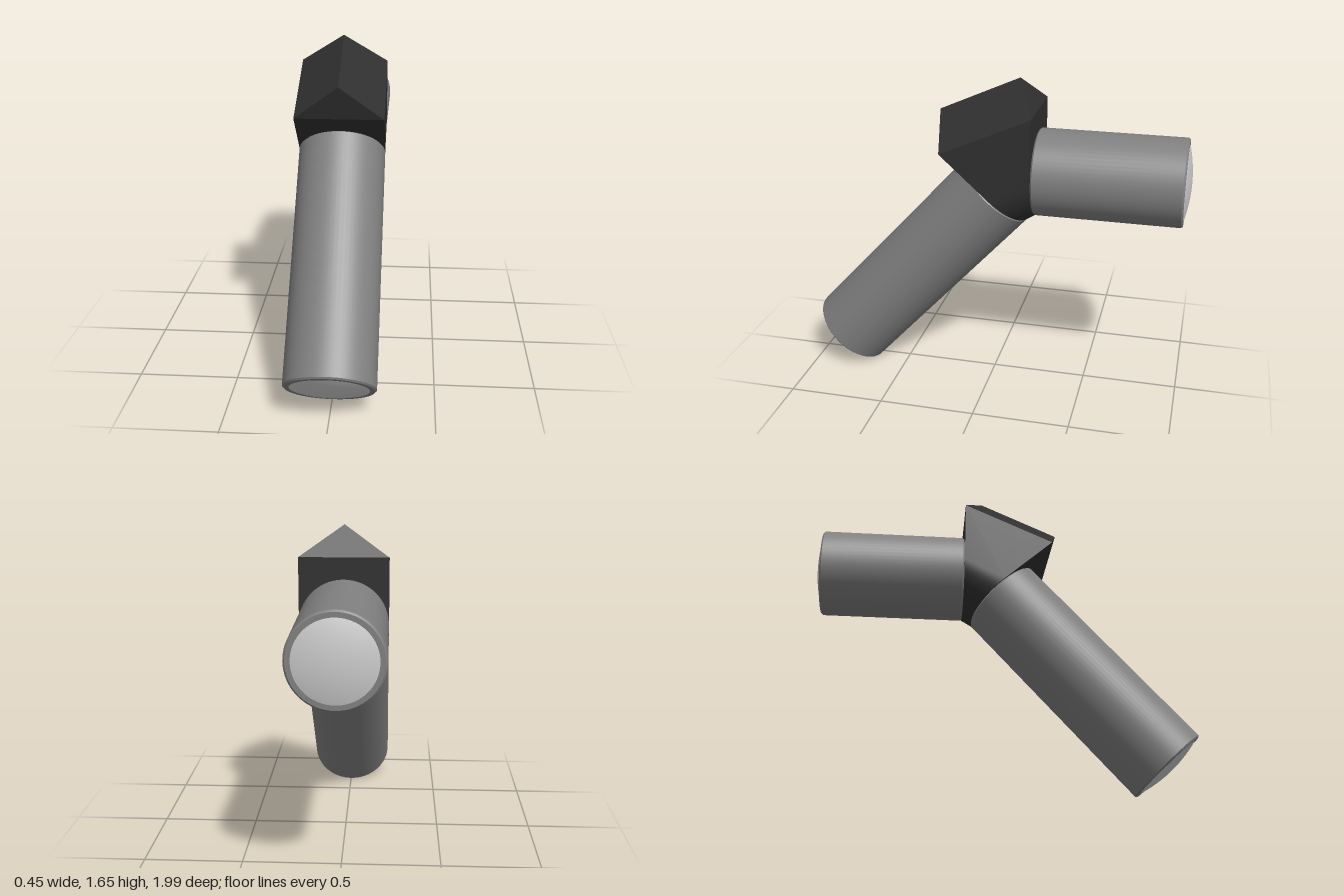
import * as THREE from 'three';
import { toCreasedNormals } from 'three/addons/utils/BufferGeometryUtils.js';
import { ConvexGeometry } from 'three/addons/geometries/ConvexGeometry.js';

const R = 0.224, LENS_R = 0.192, BULGE = 0.026;
const bodyMat = new THREE.MeshStandardMaterial({ color: 0x808080 });
const headMat = new THREE.MeshStandardMaterial({ color: 0x303030 });
const lensMat = new THREE.MeshStandardMaterial({ color: 0xcccccc });

// Tube running from a start point along a direction, closed by a domed lens
function tube(name, start, dir, length) {
  const group = new THREE.Group();
  group.name = name;
  const b = 0.008;
  const profile = [
    [0, 0], [R - b, 0], [R, b], [R, length - b], [R - b, length], [LENS_R, length], [LENS_R - 0.002, length - 0.006], [0, length - 0.006],
  ].map(([x, y]) => new THREE.Vector2(x, y));
  const body = new THREE.Mesh(toCreasedNormals(new THREE.LatheGeometry(profile, 64), 0.5), bodyMat);
  body.name = name + 'Body';

  // Shallow spherical cap
  const sphereR = (LENS_R ** 2 + BULGE ** 2) / (2 * BULGE);
  const cap = new THREE.SphereGeometry(sphereR, 64, 10, 0, Math.PI * 2, 0, Math.asin(LENS_R / sphereR));
  cap.translate(0, length + BULGE - sphereR, 0);
  const lens = new THREE.Mesh(cap, lensMat);
  lens.name = name + 'Lens';

  group.add(body, lens);
  group.position.copy(start);
  group.quaternion.setFromUnitVectors(new THREE.Vector3(0, 1, 0), dir);
  return group;
}

export function createModel() {
  const model = new THREE.Group();
  model.name = 'angledTubes';

  const rearCentre = new THREE.Vector3(0, 1.183, -0.227);
  const rearDir = new THREE.Vector3(0, 0, -1);
  const frontCentre = new THREE.Vector3(0, 1.081, -0.018);
  const frontDir = new THREE.Vector3(0, -0.736, 0.677).normalize();

  // Roofed housing: gabled top, with a half-round lower rim at each tube
  const points = [new THREE.Vector3(0, 1.48, 0.285), new THREE.Vector3(0, 1.665, -0.13)];
  for (const x of [-R, R]) {
    points.push(new THREE.Vector3(x, 1.31, 0.235), new THREE.Vector3(x, 1.515, -0.227));
  }
  const rims = [
    [rearCentre, new THREE.Vector3(0, -1, 0)],
    [frontCentre, new THREE.Vector3(0, -frontDir.z, frontDir.y)],
  ];
  for (const [centre, down] of rims) {
    for (let i = 0; i <= 32; i++) {
      const a = (i / 32) * Math.PI;
      const p = centre.clone().addScaledVector(down, R * Math.sin(a));
      p.x = R * Math.cos(a);
      points.push(p);
    }
  }
  const head = new THREE.Mesh(toCreasedNormals(new ConvexGeometry(points), 0.3), headMat);
  head.name = 'housing';

  model.add(
    head,
    tube('rearTube', rearCentre, rearDir, 0.747),
    tube('frontTube', frontCentre, frontDir, 1.256),
  );
  return model;
}
